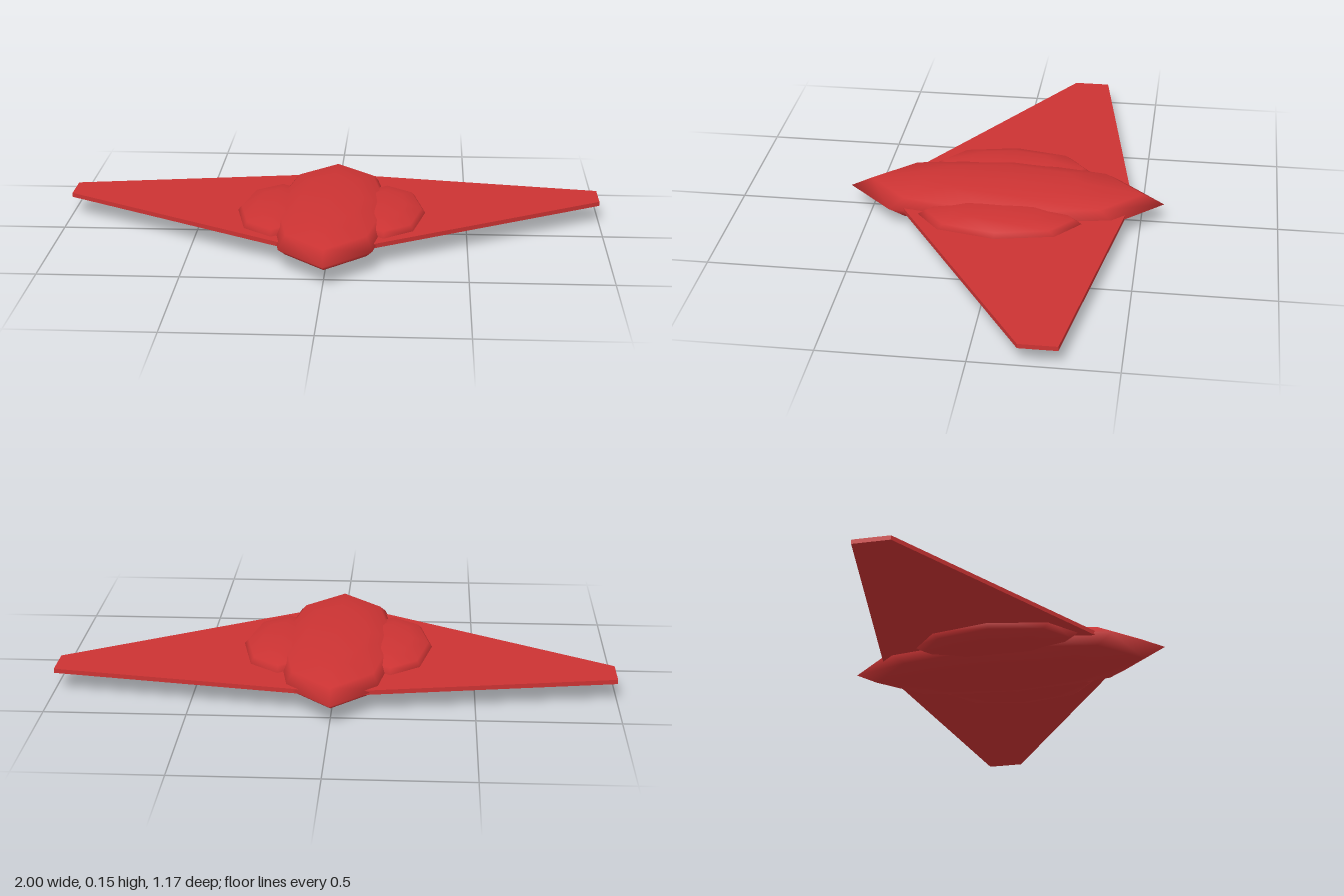
import * as THREE from 'three';

const MID = 0.075; // height of the centre plane

export function createModel() {
  const group = new THREE.Group();
  const red = new THREE.MeshStandardMaterial({ color: 0xcc3333 });

  const add = (name, geometry, x = 0) => {
    const mesh = new THREE.Mesh(geometry, red);
    mesh.name = name;
    mesh.position.set(x, MID, 0);
    group.add(mesh);
  };

  // Coarse smooth-shaded ellipsoid with its poles up and down
  const ellipsoid = (rx, ry, rz) => new THREE.SphereGeometry(1, 8, 6).scale(rx, ry, rz);

  add('fuselage', ellipsoid(0.233, 0.074, 0.583));

  // Side pods sunk into the fuselage
  for (const side of [1, -1]) {
    add(side > 0 ? 'leftPod' : 'rightPod', ellipsoid(0.153, 0.05, 0.311), side * 0.2);
  }

  // Thin swept wing plate running through the fuselage, drawn as (x, -z)
  const plan = [[0, -0.46], [1, 0.165], [1, 0.298], [0, 0.467], [-1, 0.298], [-1, 0.165]];
  const thickness = 0.016;
  const wing = new THREE.ExtrudeGeometry(
    new THREE.Shape(plan.map(([x, y]) => new THREE.Vector2(x, y))),
    { depth: thickness, bevelEnabled: false }
  );
  wing.translate(0, 0, -thickness / 2).rotateX(-Math.PI / 2);
  add('wing', wing);

  return group;
}
